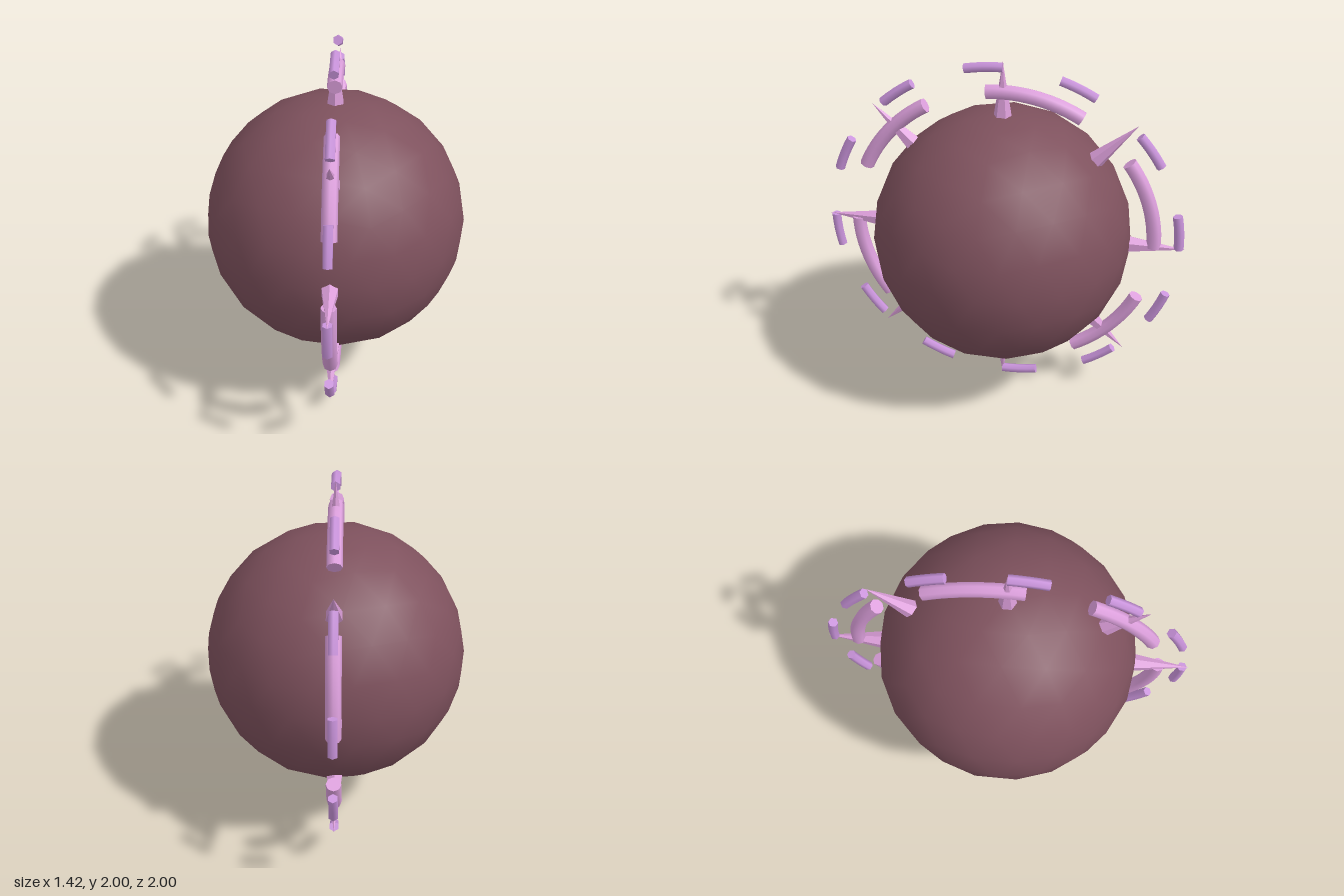
import * as THREE from 'three';
import { mergeGeometries } from 'three/addons/utils/BufferGeometryUtils.js';

const mat = (name, color, extra = {}) => {
  const m = new THREE.MeshStandardMaterial({ color, ...extra });
  m.name = name;
  return m;
};

// Icosphere with a vertex at each pole, split by repeated edge halving
function icosphere(radius, levels) {
  const t = (1 + Math.sqrt(5)) / 2;
  const base = new THREE.IcosahedronGeometry(1, 0).rotateZ(-Math.atan(1 / t));
  const p = base.getAttribute('position');
  const v = i => new THREE.Vector3().fromBufferAttribute(p, i);
  let tris = [];
  for (let i = 0; i < p.count; i += 3) tris.push([v(i), v(i + 1), v(i + 2)]);
  const mid = (a, b) => a.clone().add(b).normalize();
  for (let l = 0; l < levels; l++) {
    tris = tris.flatMap(([a, b, c]) => {
      const ab = mid(a, b), bc = mid(b, c), ca = mid(c, a);
      return [[a, ab, ca], [ab, b, bc], [ca, bc, c], [ab, bc, ca]];
    });
  }
  const normals = tris.flat().flatMap(q => q.toArray());
  const geo = new THREE.BufferGeometry();
  geo.setAttribute('position', new THREE.Float32BufferAttribute(normals.map(n => n * radius), 3));
  geo.setAttribute('normal', new THREE.Float32BufferAttribute(normals, 3));
  return geo;
}

// Curved bar with closed ends, starting on +x and bending toward +y
function curvedBar(radius, tube, sides, arc, steps) {
  const cap = turn => new THREE.CircleGeometry(tube, sides).rotateX(turn).translate(radius, 0, 0);
  return mergeGeometries([
    new THREE.TorusGeometry(radius, tube, sides, steps, arc),
    cap(Math.PI / 2),
    cap(-Math.PI / 2).rotateZ(arc),
  ]);
}

export function createModel() {
  const model = new THREE.Group();
  model.name = 'spikedOrb';
  const plum = mat('dull plum', 0x7e515d);
  const pink = mat('orchid pink', 0xdda0dd);
  const spikePink = mat('spike pink', 0xdb9ed9, { flatShading: true });
  const lilac = mat('lilac', 0xcb95dd);

  const orb = new THREE.Mesh(icosphere(0.71, 2), plum);
  orb.name = 'orb';
  orb.position.y = 1;
  model.add(orb);

  // Ring frame: its x points up, its y points forward
  const ring = new THREE.Group();
  ring.name = 'ring';
  ring.position.y = 1;
  ring.quaternion.setFromRotationMatrix(new THREE.Matrix4().makeBasis(
    new THREE.Vector3(0, 1, 0), new THREE.Vector3(0, 0, 1), new THREE.Vector3(1, 0, 0)));
  model.add(ring);

  // Copies of one part spaced evenly around the ring
  const repeat = (name, count, start, geometry, material) => {
    for (let i = 0; i < count; i++) {
      const part = new THREE.Mesh(geometry, material);
      part.name = `${name}${i + 1}`;
      part.rotation.z = start + i * 2 * Math.PI / count;
      ring.add(part);
    }
  };

  // Eight spikes, six thick inner arcs and twelve thin outer dashes
  const foot = 0.68, tip = 1;
  const spike = new THREE.ConeGeometry(0.051, tip - foot, 6)
    .rotateY(Math.PI / 6).rotateZ(-Math.PI / 2).translate((foot + tip) / 2, 0, 0);
  repeat('spike', 8, 0, spike, spikePink);
  repeat('innerArc', 6, Math.PI / 6, curvedBar(0.832, 0.04, 8, Math.PI / 5, 12), pink);
  repeat('outerDash', 12, 0, curvedBar(0.967, 0.027, 6, Math.PI / 15, 4), lilac);
  return model;
}
